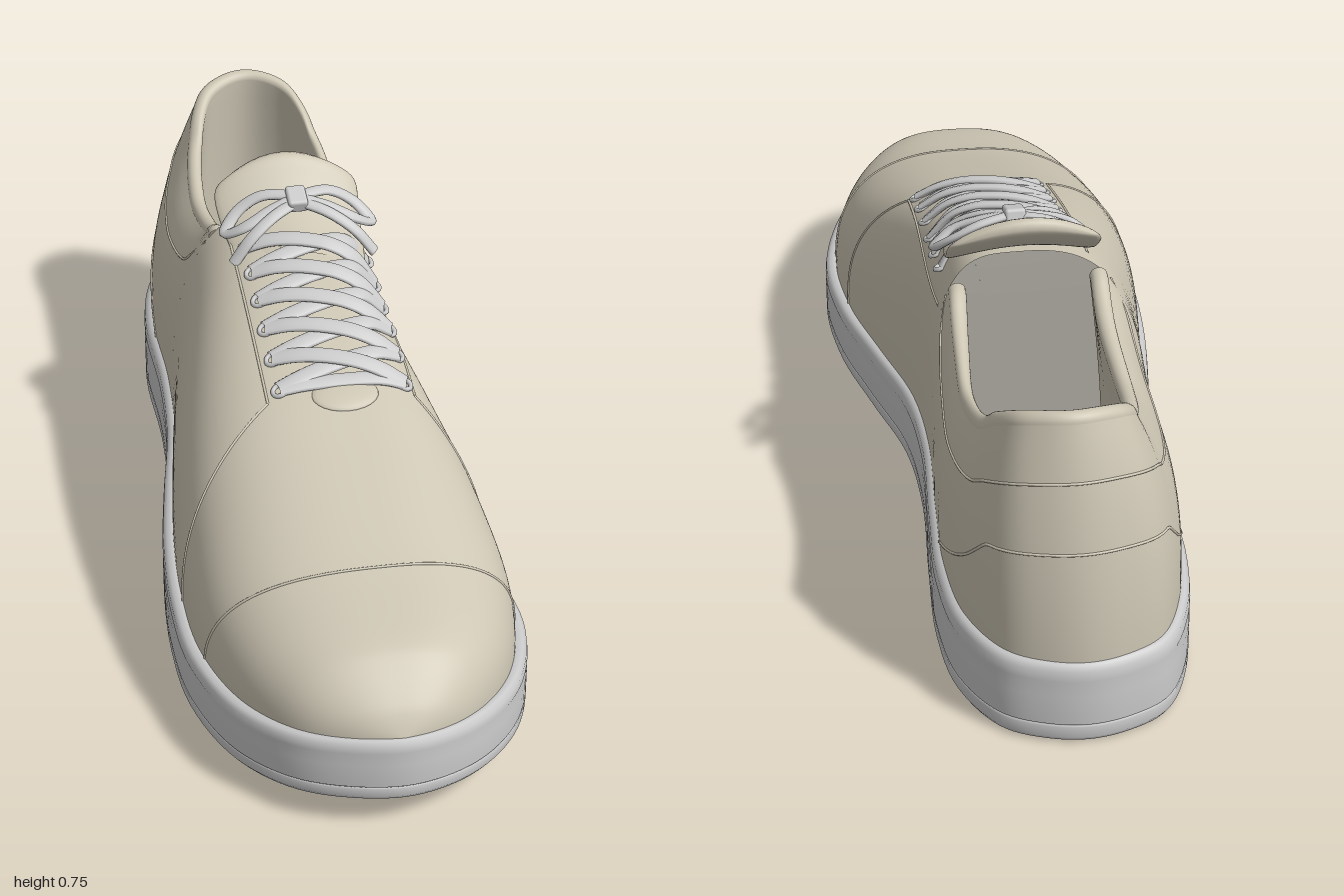
import * as THREE from 'three';
import { mergeVertices } from 'three/addons/utils/BufferGeometryUtils.js';
import { RoundedBoxGeometry } from 'three/addons/geometries/RoundedBoxGeometry.js';

const V = (x, y, z) => new THREE.Vector3(x, y, z);
const { lerp, smoothstep, clamp } = THREE.MathUtils;

const greyMat = new THREE.MeshStandardMaterial({ color: 0xcccccc, side: THREE.DoubleSide });
const upperMat = new THREE.MeshStandardMaterial({ color: 0xcdc6b4, side: THREE.DoubleSide });
const insoleMat = new THREE.MeshStandardMaterial({ color: 0x95928b, side: THREE.DoubleSide });

// Smooth surface from fn(u, v), u and v in 0..1
function grid(fn, nu, nv) {
  const pos = [], idx = [];
  for (let i = 0; i <= nu; i++) for (let j = 0; j <= nv; j++) pos.push(...fn(i / nu, j / nv).toArray());
  for (let i = 0; i < nu; i++) for (let j = 0; j < nv; j++) {
    const a = i * (nv + 1) + j, b = a + nv + 1;
    idx.push(a, b, a + 1, b, b + 1, a + 1);
  }
  let geo = new THREE.BufferGeometry();
  geo.setAttribute('position', new THREE.Float32BufferAttribute(pos, 3));
  geo.setIndex(idx);
  geo = mergeVertices(geo, 1e-5);
  geo.computeVertexNormals();
  return geo;
}

// Smooth y(z) through a few [z, y] points with rising z
function profile(points) {
  const curve = new THREE.SplineCurve(points.map(p => new THREE.Vector2(...p)));
  return z => {
    let lo = 0, hi = 1;
    for (let i = 0; i < 30; i++) {
      const m = (lo + hi) / 2;
      if (curve.getPoint(m).x < z) lo = m; else hi = m;
    }
    return curve.getPoint(lo).y;
  };
}

// Footprint: toe, right-hand half, heel, other half
const outline = new THREE.CatmullRomCurve3([
  [.015, 1], [.12, .97], [.21, .9], [.29, .78], [.339, .6], [.326, .4], [.277, .2], [.227, 0], [.217, -.2],
  [.235, -.45], [.245, -.65], [.225, -.82], [.16, -.94], [.08, -.985], [0, -1],
  [-.08, -.985], [-.16, -.94], [-.22, -.82], [-.25, -.65], [-.25, -.4], [-.265, -.2], [-.3, 0], [-.33, .2],
  [-.343, .4], [-.333, .6], [-.275, .8], [-.19, .92], [-.1, .975],
].map(([x, z]) => V(x, 0, z)), true);

function outlineX(z, side) {
  let lo = 0, hi = .5;
  for (let i = 0; i < 30; i++) {
    const m = (lo + hi) / 2;
    if (outline.getPoint(side > 0 ? m : 1 - m).z > z) lo = m; else hi = m;
  }
  return outline.getPoint(side > 0 ? lo : 1 - lo).x;
}

function insetOutline(u, d) {
  const p = outline.getPoint(u % 1), t = outline.getTangent(u % 1);
  return V(p.x + t.z * d, 0, p.z - t.x * d);
}

const soleTop = profile([[-1, .18], [-.5, .18], [0, .16], [.4, .15], [.6, .155], [.8, .175], [1, .21]]);
const soleBottom = profile([[-1, 0], [-.4, 0], [0, 0], [.2, 0], [.4, .006], [.6, .02], [.8, .04], [1, .07]]);
const crest = profile([[-.32, .655], [-.2, .645], [0, .595], [.25, .518], [.4, .465], [.6, .397], [.7, .368],
  [.85, .333], [.9, .307], [.95, .262], [.97, .235], [.985, .205]]);
const rimHeight = profile([[-1, .67], [-.9, .652], [-.8, .595], [-.74, .552], [-.6, .513], [-.5, .517], [-.4, .54], [-.33, .57], [-.28, .6]]);

const JOIN = -.28;
const baseX = (z, side) => .93 * outlineX(z / .985, side);
const baseY = z => soleTop(z) - .02;
const crestX = z => lerp(.03, .014, smoothstep(z, .4, .985));
const power = (z, side) => lerp(side > 0 ? 3.4 : 2.8, 2.5, smoothstep(z, 0, .7));

// Front of the upper: arched cross-sections, a runs 0..PI from +x to -x
function vampPoint(a, z) {
  const side = a < Math.PI / 2 ? 1 : -1, e = 2 / power(z, side), c = crestX(z);
  const f = Math.pow(Math.abs(Math.cos(a)), e), g = Math.pow(Math.abs(Math.sin(a)), e);
  return V(c + (baseX(z, side) - c) * f, lerp(baseY(z), crest(z), g), z);
}
function vampY(x, z) {
  const side = x > crestX(z) ? 1 : -1, n = power(z, side);
  const f = Math.min(1, Math.abs((x - crestX(z)) / (baseX(z, side) - crestX(z))));
  return lerp(baseY(z), crest(z), Math.pow(1 - Math.pow(f, n), 1 / n));
}

// Wall round the heel: s runs -1..1 through the heel at 0, t is the height from sole to rim
const rimX = x => x * .72 + .02;
const joinK = [-1, 1].map(s => (rimX(baseX(JOIN, s)) - .03) / (baseX(JOIN, s) - .03));
function wallEnds(s) {
  const side = s >= 0 ? 1 : -1, back = Math.cos(s * Math.PI / 2), z = JOIN - .705 * back;
  const w = smoothstep(s, -1, 1), k = lerp(joinK[0], joinK[1], w);
  const n = lerp(2.8, 3.4, w) - 1.4 * Math.pow(back, 4);
  const base = V(baseX(z, side), baseY(z), z), rz = JOIN + (z - JOIN) * .89;
  const amax = Math.acos(Math.pow(k, n / 2));
  const joined = lerp(baseY(JOIN), crest(JOIN), Math.pow(Math.sin(amax), 2 / n));
  const y = lerp(rimHeight(rz), joined, smoothstep(rz, -.34, JOIN));
  return { base, rim: V(rimX(base.x), y, rz), k, n, amax };
}
function wallPoint(s, t) {
  const { base, rim, k, n, amax } = wallEnds(s), a = Math.asin(Math.sin(amax) * Math.pow(t, n / 2));
  const p = rim.clone().lerp(base, (Math.pow(Math.cos(a), 2 / n) - k) / (1 - k));
  return p.setY(lerp(base.y, rim.y, t));
}
// Padded collar roll, then the lining down to the insole
function liningPoint(s, t) {
  const { base, rim } = wallEnds(s), inward = rim.clone().sub(base).setY(0).normalize(), r = .018;
  if (t <= .5) {
    const q = t * 2 * Math.PI;
    return rim.addScaledVector(inward, r * (1 - Math.cos(q))).setY(rim.y + r * Math.sin(q));
  }
  const d = (t - .5) * 2, y = lerp(rim.y, base.y, d);
  return rim.addScaledVector(inward, 2 * r - .03 * Math.sin(d * Math.PI / 2)).setY(y);
}

// Flat lace or seam swept along points
function strip(points, width, thick, closed = false) {
  const c = new THREE.CatmullRomCurve3(points, closed), up = V(0, 1, .3).normalize();
  return grid((u, v) => {
    const t = c.getTangent(u), lat = V(0, 0, 0).crossVectors(up, t).normalize();
    const nor = V(0, 0, 0).crossVectors(t, lat), q = v * Math.PI * 2;
    return c.getPoint(u).addScaledVector(lat, width * Math.cos(q)).addScaledVector(nor, thick * Math.sin(q));
  }, points.length * 5, 10);
}
const along = (n, fn) => Array.from({ length: n + 1 }, (_, i) => fn(i / n));

export function createModel() {
  const group = new THREE.Group();
  const add = (name, geo, mat = upperMat) => {
    const m = new THREE.Mesh(geo, mat);
    m.name = name;
    group.add(m);
    return m;
  };

  // Sole side wall: [inset, height fraction]
  const edge = [[.02, 0], [.006, .025], [0, .08], [0, .21], [.003, .22], [.003, .235], [0, .245], [0, .6],
    [.002, .75], [0, .8], [.002, .92], [.01, .98], [.022, 1], [.045, .97]];
  add('midsole', grid((u, v) => {
    const [d, f] = edge[Math.round(v * (edge.length - 1))], p = insetOutline(u, d);
    return p.setY(lerp(soleBottom(p.z), soleTop(p.z), f));
  }, 160, edge.length - 1), greyMat);
  const cap = (d, height) => grid((u, v) => {
    const p = insetOutline(u, d);
    p.x *= 1 - v;
    return p.setY(height(p.z));
  }, 160, 1);
  add('outsole', cap(.02, soleBottom), greyMat);
  add('insole', cap(.04, z => soleTop(z) - .005), insoleMat);

  // Upper
  add('vamp', grid((u, v) => vampPoint(v * Math.PI, JOIN + 1.265 * Math.sin(u * Math.PI / 2)), 70, 64));
  add('heelQuarter', grid((u, v) => wallPoint(u * 2 - 1, v), 90, 24));
  add('collarLining', grid((u, v) => liningPoint(u * 2 - 1, v), 90, 24));

  // Tongue, rounded at its free end
  const spine = new THREE.CatmullRomCurve3([V(.022, .615, -.1), V(.022, .648, -.2), V(.018, .685, -.275), V(.016, .748, -.335)]);
  add('tongue', grid((u, v) => {
    const q = v * Math.PI * 2, x = Math.cos(q), p = spine.getPoint(u), thick = .015 * Math.sqrt(1 - Math.pow(u, 14));
    const w = lerp(.13, .16, u) * (1 - .2 * Math.pow(u, 16));
    return V(p.x + w * x, p.y - .045 * x * x + thick * Math.sin(q), p.z + .02 * x * x + u * thick * Math.sin(q));
  }, 32, 32));
  const tab = add('tongueBase', new THREE.SphereGeometry(1, 24, 12));
  tab.scale.set(.068, .01, .045);
  tab.position.set(.037, vampY(.037, .268) - .002, .268);
  tab.rotation.x = .3;

  // Panel seams
  const seam = (name, pts) => add(name, strip(pts, .0028, .0028));
  seam('toeCapSeam', along(24, t => vampPoint(t * Math.PI, .61 + .065 * Math.sin(t * Math.PI))));
  for (const side of [1, -1]) {
    // The eyestay edge meets the quarter seam beside the lowest eyelet
    const edgeX = .032 + side * .15, z0 = .26, c = crestX(z0);
    const top = Math.acos(Math.pow((edgeX - c) / (baseX(z0, side) - c), power(z0, side) / 2));
    seam('quarterSeam', along(16, t => vampPoint(side > 0 ? t * top : Math.PI - t * top, .41 - .15 * Math.pow(t, 1.7))));
    seam('eyestaySeam', along(12, t => V(edgeX, vampY(edgeX, z0 - .5 * t), z0 - .5 * t)));
  }
  seam('collarSeam', along(40, t => wallPoint(t * 2 - 1, .78 + .2 * Math.pow(Math.abs(t * 2 - 1), 14))));
  seam('heelCounterSeam', along(30, t => {
    const s = (t * 2 - 1) * .76;
    return wallPoint(s, .5 * Math.pow(clamp((.76 - Math.abs(s)) / .4, 0, 1), .8));
  }));

  // Laces and eyelets
  const rows = 6, rowZ = i => .24 - i * .08, eyeX = side => .037 + side * .128;
  const lacePoint = (x, z, lift) => V(x, vampY(x, z) + lift, z);
  for (let i = 0; i < rows; i++) for (const side of [1, -1]) {
    const eye = add('eyelet', new THREE.TorusGeometry(.014, .005, 8, 16), greyMat);
    eye.position.copy(lacePoint(eyeX(side), rowZ(i), .003));
    eye.rotation.set(-Math.PI / 2 + .28, side * .4, 0);
    if (i === rows - 1) continue;
    add('crossLace', strip(along(6, t => lacePoint(lerp(eyeX(side), eyeX(-side), t), lerp(rowZ(i), rowZ(i + 1), t),
      .005 + (side > 0 ? .017 : .005) * Math.sin(t * Math.PI))), .02, .008), greyMat);
  }
  add('bottomLace', strip(along(6, t => lacePoint(lerp(eyeX(-1), eyeX(1), t), rowZ(0), .005)), .018, .008), greyMat);

  // Bow
  const knot = add('bowKnot', new RoundedBoxGeometry(.042, .03, .055, 3, .007), greyMat);
  knot.position.set(.025, .7, -.21);
  knot.rotation.x = .3;
  for (const s of [1, -1]) {
    const at = (x, y, z) => V(.028 + s * x, y, z);
    add('bowLoop', strip([at(.01, .7, -.215), at(.07, .698, -.24), at(.125, .668, -.235), at(.155, .635, -.205),
      at(.12, .658, -.18), at(.06, .685, -.195)], .014, .008, true), greyMat);
    add('bowEnd', strip([at(.01, .695, -.2), at(.06, .682, -.17), at(.11, .65, -.145), at(.15, .6, -.135)], .014, .008), greyMat);
  }
  return group;
}
